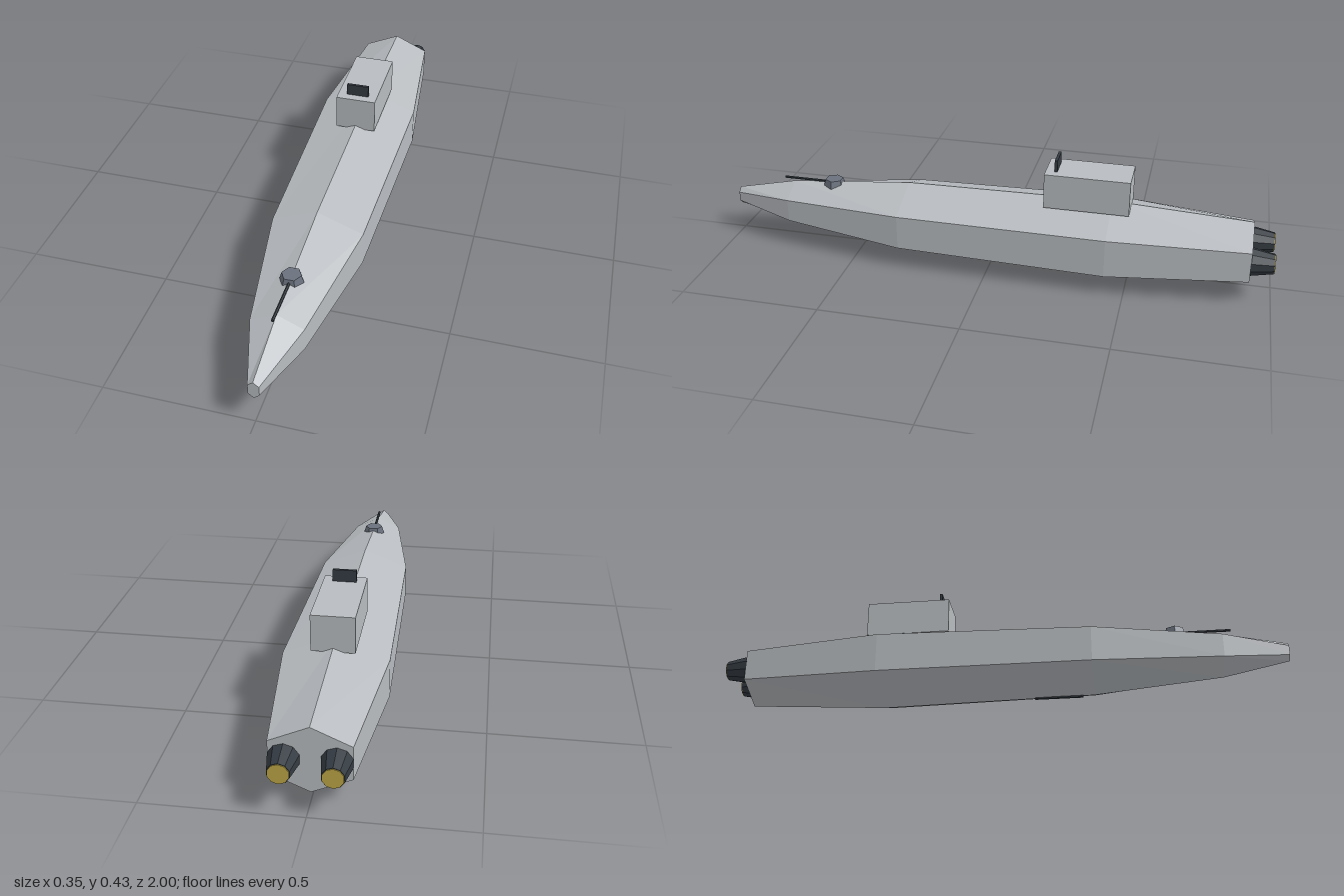
import * as THREE from 'three';

const material = (name, color) => {
  const m = new THREE.MeshStandardMaterial({ color, flatShading: true });
  m.name = name;
  return m;
};

// Hull lofted through six-sided sections: [z, half width, keel, lower edge, upper edge, ridge]
function hullGeometry() {
  const sections = [
    [-0.92, 0.125, 0.033, 0.088, 0.199, 0.255],
    [-0.43, 0.177, 0.003, 0.073, 0.212, 0.279],
    [0.32, 0.16, 0.015, 0.079, 0.205, 0.268],
    [0.77, 0.088, 0.058, 0.1, 0.184, 0.226],
    [1, 0.018, 0.107, 0.124, 0.159, 0.175],
  ];
  const points = [];
  const index = [];
  for (const [z, w, keel, low, high, ridge] of sections) {
    points.push(0, keel, z, w, low, z, w, high, z, 0, ridge, z, -w, high, z, -w, low, z);
  }
  for (let s = 0; s < sections.length - 1; s++) {
    for (let i = 0; i < 6; i++) {
      const a = s * 6 + i, b = s * 6 + (i + 1) % 6;
      index.push(a, b, b + 6, a, b + 6, a + 6);
    }
  }
  // Flat stern and nose caps
  const last = (sections.length - 1) * 6;
  for (let i = 1; i < 5; i++) {
    index.push(0, i + 1, i);
    index.push(last, last + i, last + i + 1);
  }
  const g = new THREE.BufferGeometry();
  g.setAttribute('position', new THREE.Float32BufferAttribute(points, 3));
  g.setIndex(index);
  const flat = g.toNonIndexed();
  flat.computeVertexNormals();
  return flat;
}

export function createModel() {
  const model = new THREE.Group();
  const hullGrey = material('hull grey', 0xb8bcc0);
  const darkSteel = material('dark steel', 0x343b42);
  const turretGrey = material('turret grey', 0x6a717d);
  const glow = material('exhaust yellow', 0xbca645);

  const add = (name, geometry, mat, x, y, z) => {
    const mesh = new THREE.Mesh(geometry, mat);
    mesh.name = name;
    mesh.position.set(x, y, z);
    model.add(mesh);
    return mesh;
  };

  add('hull', hullGeometry(), hullGrey, 0, 0, 0);

  // Conning tower with its antenna panel
  add('tower', new THREE.BoxGeometry(0.145, 0.127, 0.3), hullGrey, 0, 0.3255, -0.345);
  add('antennaPanel', new THREE.BoxGeometry(0.08, 0.043, 0.01), darkSteel, 0, 0.4095, -0.231);

  // Deck gun turret
  const turret = new THREE.CylinderGeometry(0.033, 0.041, 0.027, 6).rotateY(Math.PI / 6);
  add('turret', turret, turretGrey, 0, 0.2385, 0.612);

  // Deck gun barrel and matching keel gun barrel
  const barrel = new THREE.CylinderGeometry(0.005, 0.005, 0.17, 6).rotateX(Math.PI / 2);
  add('deckGunBarrel', barrel, darkSteel, 0, 0.238, 0.723);
  add('keelGunBarrel', barrel, darkSteel, 0, 0.012, 0.195);

  // Twin tapered engines with glowing exhaust discs
  const nozzle = new THREE.CylinderGeometry(0.05, 0.035, 0.079, 10).rotateX(Math.PI / 2);
  const exhaust = new THREE.CylinderGeometry(0.033, 0.033, 0.006, 10).rotateX(Math.PI / 2);
  for (const [side, x] of [['left', 0.078], ['right', -0.078]]) {
    add(side + 'Engine', nozzle, darkSteel, x, 0.144, -0.9575);
    add(side + 'Exhaust', exhaust, glow, x, 0.144, -0.997);
  }

  return model;
}
